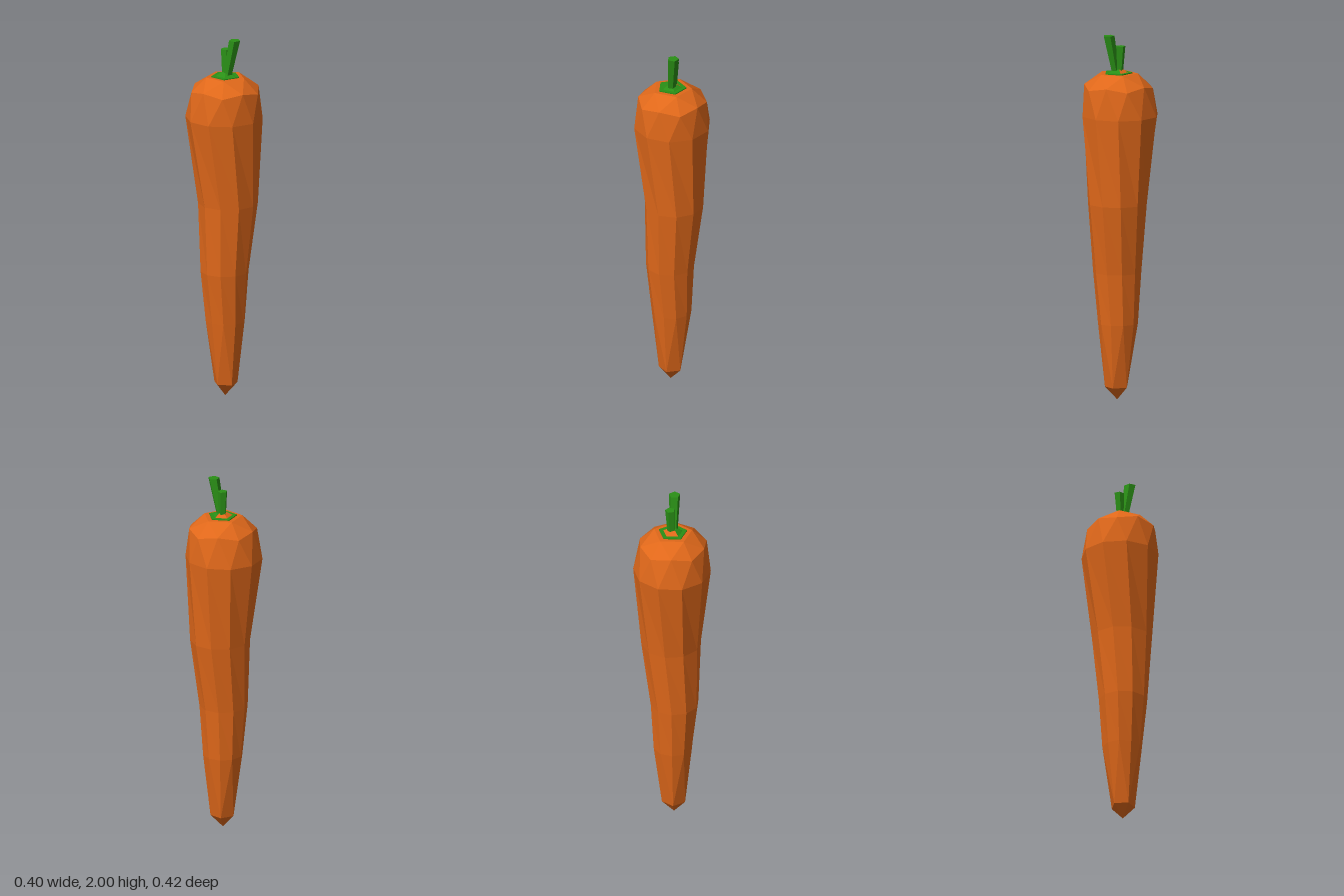
import * as THREE from 'three';

const RAD = Math.PI / 180;
const N = 10;

const orange = new THREE.MeshStandardMaterial({ color: 0xe0681a, flatShading: true });
const green = new THREE.MeshStandardMaterial({ color: 0x2a9016, flatShading: true });

// Ring of ten points; `angle` gives the degrees of point k, `alt` shifts [radius, y] of odd points
function ring(x, y, z, r, angle, alt = [0, 0]) {
  return Array.from({ length: N }, (_, k) => {
    const odd = k % 2, a = angle(k) * RAD, rr = r + odd * alt[0];
    return new THREE.Vector3(x + rr * Math.cos(a), y + odd * alt[1], z + rr * Math.sin(a));
  });
}

// Joins rings from top to bottom, leaving out collapsed triangles
function loft(rings) {
  const pos = [];
  const tri = (a, b, c) => {
    if (a.equals(b) || b.equals(c) || c.equals(a)) return;
    for (const p of [a, b, c]) pos.push(p.x, p.y, p.z);
  };
  for (let i = 0; i + 1 < rings.length; i++) {
    const a = rings[i], b = rings[i + 1];
    for (let k = 0; k < N; k++) {
      const n = (k + 1) % N;
      tri(a[k], a[n], b[k]);
      tri(a[n], b[n], b[k]);
    }
  }
  const g = new THREE.BufferGeometry();
  g.setAttribute('position', new THREE.Float32BufferAttribute(pos, 3));
  g.computeVertexNormals();
  return g;
}

function add(group, name, geometry, material) {
  const mesh = new THREE.Mesh(geometry, material);
  mesh.name = name;
  group.add(mesh);
  return mesh;
}

// Five-sided stalk leaning from a base point to a top point, with level ends
function stalk(base, top, r0, r1, turn) {
  const h = top[1] - base[1];
  const g = new THREE.CylinderGeometry(r1, r0, h, 5, 1, false, turn);
  const p = g.attributes.position;
  for (let i = 0; i < p.count; i++) {
    const t = p.getY(i) / h + 0.5;
    p.setXYZ(i,
      p.getX(i) + THREE.MathUtils.lerp(base[0], top[0], t),
      base[1] + t * h,
      p.getZ(i) + THREE.MathUtils.lerp(base[2], top[2], t));
  }
  g.computeVertexNormals();
  return g;
}

export function createModel() {
  const model = new THREE.Group();
  model.name = 'carrot';

  // Root: faceted dome, slightly twisting taper and a five-sided tip
  const step = (offset) => (k) => offset + 36 * k;
  const paired = (offset) => (k) => offset + 72 * Math.floor(k / 2);
  add(model, 'root', loft([
    ring(0, 1.79, 0.012, 0, step(0)),
    ring(0, 1.79, 0.012, 0.108, paired(0)),
    ring(0, 1.71, 0.012, 0.19, step(0), [-0.008, 0.02]),
    ring(0, 1.56, 0, 0.21, step(18)),
    ring(0.012, 1.08, 0.018, 0.162, step(9)),
    ring(-0.01, 0.7, 0.013, 0.131, step(4)),
    ring(-0.002, 0.42, 0.011, 0.108, step(0)),
    ring(-0.004, 0.07, 0.015, 0.066, paired(36)),
    ring(-0.006, 0, 0.014, 0, step(0)),
  ]), orange);

  // Green patch on the crown
  const patch = add(model, 'crownPatch',
    new THREE.CylinderGeometry(0.08, 0.08, 0.006, 5, 1, false, 90 * RAD), green);
  patch.position.set(0, 1.792, 0.012);

  // Bud at the foot of the stalks: orange behind, green in front
  const bud = (name, start, sides, material) => {
    const g = new THREE.CylinderGeometry(0.022, 0.055, 0.02, sides, 1, false,
      start * RAD, sides * 72 * RAD);
    add(model, name, g, material).position.set(0, 1.805, 0.012);
  };
  bud('budBack', 90, 2, orange);
  bud('budFront', 234, 3, green);

  // Two cut stalks
  add(model, 'backStalk', stalk([0.006, 1.795, 0.006], [0.011, 1.94, 0.0], 0.021, 0.027, 0.6), green);
  add(model, 'frontStalk', stalk([0, 1.795, 0.026], [0.011, 2, 0.067], 0.022, 0.032, 0.35), green);

  return model;
}
